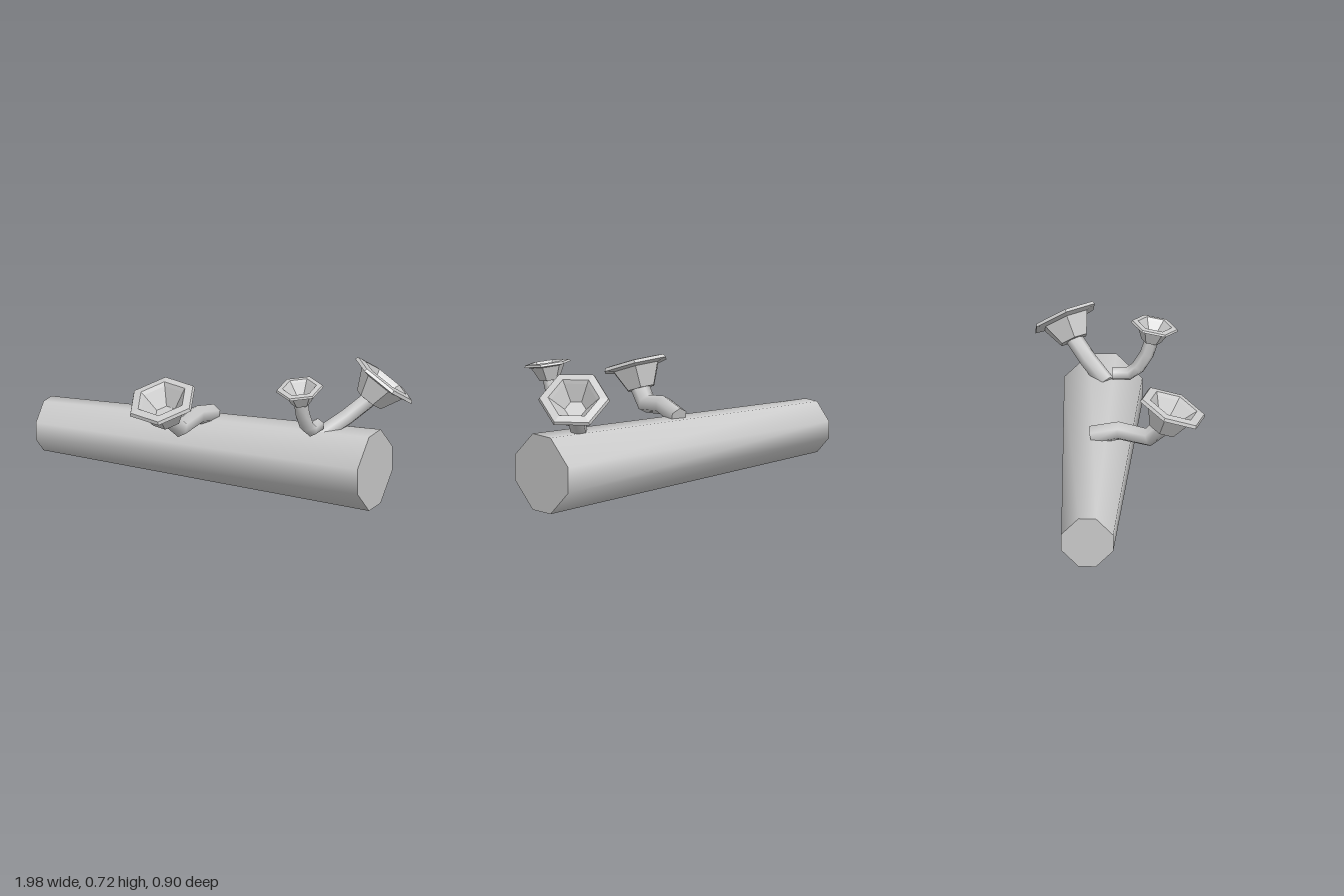
import * as THREE from 'three';

const smooth = new THREE.MeshStandardMaterial({ color: 0xcccccc, side: THREE.DoubleSide });
const faceted = new THREE.MeshStandardMaterial({ color: 0xcccccc, side: THREE.DoubleSide, flatShading: true });

// Skin a row of rings (equal point counts, counter-clockwise about the travel direction) and cap both ends
function loft(rings) {
  const n = rings[0].length, last = rings.length - 1;
  const pts = [...rings.flat(), ...rings[0], ...rings[last]];
  const index = [];
  for (let i = 0; i < last; i++) {
    for (let j = 0; j < n; j++) {
      const a = i * n + j, b = i * n + (j + 1) % n;
      index.push(a, b, a + n, b, b + n, a + n);
    }
  }
  const start = (last + 1) * n, end = start + n;
  for (let j = 1; j < n - 1; j++) {
    index.push(start, start + j + 1, start + j, end, end + j, end + j + 1);
  }
  const g = new THREE.BufferGeometry().setFromPoints(pts);
  g.setIndex(index);
  g.computeVertexNormals();
  return g;
}

function add(group, name, geometry, material) {
  const mesh = new THREE.Mesh(geometry, material);
  mesh.name = name;
  group.add(mesh);
  return mesh;
}

// Eight-sided log section: a square of half size h with its corners cut off
function logRing(x, y, z, h) {
  const c = h * 0.335;
  const corners = [[h, -c], [h, c], [c, h], [-c, h], [-h, c], [-h, -c], [-c, -h], [c, -h]];
  // y then z runs counter-clockwise about +x
  return corners.map(([dy, dz]) => new THREE.Vector3(x, y + dy, z + dz));
}

// Six-sided stem following a bent path
function stem(path, radius) {
  const pts = path.map(p => new THREE.Vector3(...p));
  const rings = pts.map((p, i) => {
    const dir = pts[Math.min(i + 1, pts.length - 1)].clone().sub(pts[Math.max(i - 1, 0)]).normalize();
    const side = new THREE.Vector3(dir.z, 0, -dir.x).normalize();
    const up = dir.clone().cross(side);
    return Array.from({ length: 6 }, (_, k) => {
      const a = (k + 0.5) * Math.PI / 3;
      return p.clone().addScaledVector(side, Math.cos(a) * radius).addScaledVector(up, Math.sin(a) * radius);
    });
  });
  return loft(rings);
}

// Hollow six-sided cup with a flared lip; the rim centre is the origin
const cupProfile = [
  [0, -0.74], [0.42, -0.74], [0.72, -0.15], [1, -0.09], [0.96, 0],
  [0.72, 0.03], [0.64, -0.06], [0.3, -0.5], [0, -0.5],
].map(p => new THREE.Vector2(...p));

const mushrooms = [
  {
    name: 'frontMushroom', rim: [-0.147, 0.55, 0.3], axis: [-0.03, 0.92, 0.38], size: 0.185, spin: 18, radius: 0.05,
    path: [[-0.065, 0.35, -0.12], [-0.085, 0.385, 0.02], [-0.11, 0.362, 0.17], [-0.135, 0.45, 0.26]],
  },
  {
    name: 'smallMushroom', rim: [0.577, 0.69, 0.175], axis: [0, 0.98, 0.2], size: 0.122, spin: 0, radius: 0.036,
    path: [[0.575, 0.418, -0.04], [0.575, 0.418, 0.04], [0.575, 0.455, 0.09], [0.575, 0.53, 0.135], [0.576, 0.61, 0.16]],
  },
  {
    name: 'backMushroom', rim: [0.83, 0.625, -0.3], axis: [0.48, 0.77, -0.4], size: 0.185, spin: 41, radius: 0.045,
    path: [[0.58, 0.36, -0.07], [0.68, 0.44, -0.165], [0.785, 0.54, -0.26]],
  },
];

export function createModel() {
  const model = new THREE.Group();
  model.name = 'mushroomLog';

  // Tapering log
  add(model, 'log', loft([logRing(-1, 0.153, -0.105, 0.133), logRing(0.87, 0.2, -0.1, 0.2)]), smooth);

  // Cups on bent stems
  for (const m of mushrooms) {
    const group = new THREE.Group();
    group.name = m.name;
    add(group, 'stem', stem(m.path, m.radius), smooth);
    const cup = add(group, 'cup', new THREE.LatheGeometry(cupProfile, 6), faceted);
    cup.position.set(...m.rim);
    cup.quaternion.setFromUnitVectors(new THREE.Vector3(0, 1, 0), new THREE.Vector3(...m.axis).normalize());
    cup.rotateY(THREE.MathUtils.degToRad(m.spin));
    cup.scale.setScalar(m.size);
    model.add(group);
  }
  return model;
}
